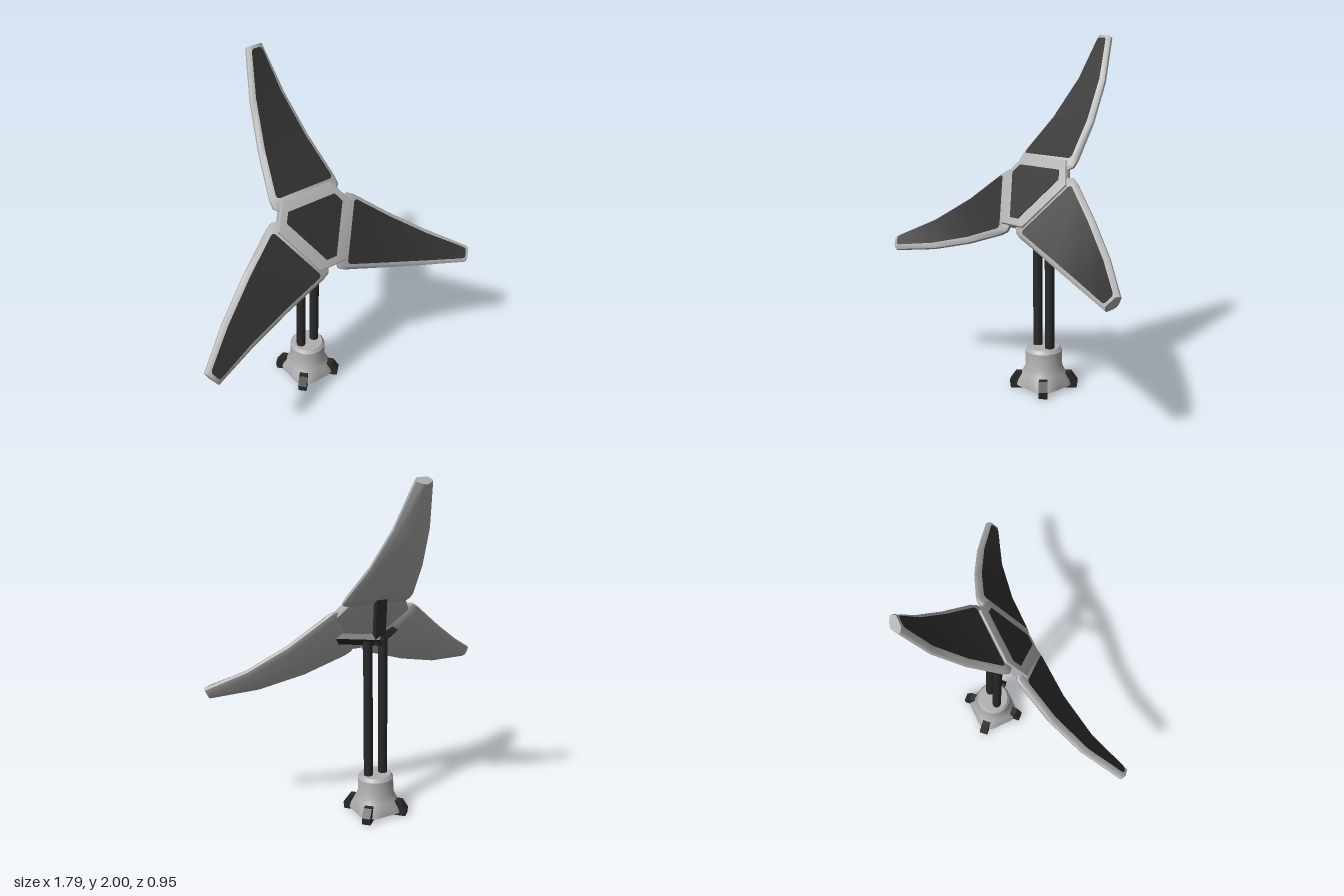
import * as THREE from 'three';
import { toCreasedNormals } from 'three/addons/utils/BufferGeometryUtils.js';

const shell = new THREE.MeshStandardMaterial({ color: 0xb0b0b0, side: THREE.DoubleSide });
shell.name = 'light grey shell';
const panelMat = new THREE.MeshStandardMaterial({ color: 0x303030, side: THREE.DoubleSide });
panelMat.name = 'dark panel';
const metal = new THREE.MeshStandardMaterial({ color: 0x282828 });
metal.name = 'black metal';

function add(parent, name, geometry, material) {
  const mesh = new THREE.Mesh(geometry, material);
  mesh.name = name;
  parent.add(mesh);
  return mesh;
}

// Blade stations along its length: distance from hub, half width, depth, half thickness
const STATIONS = [
  [0.138, 0.188, -0.022, 0.014],
  [0.165, 0.213, -0.033, 0.021],
  [0.21, 0.212, -0.04, 0.025],
  [0.47, 0.16, -0.07, 0.024],
  [0.737, 0.106, -0.064, 0.023],
  [1.003, 0.048, -0.011, 0.025],
];

// Height of the blade's front face at a given distance
function frontAt(r) {
  let i = 0;
  while (i < STATIONS.length - 2 && r > STATIONS[i + 1][0]) i++;
  const a = STATIONS[i], b = STATIONS[i + 1];
  return THREE.MathUtils.lerp(a[2] + a[3], b[2] + b[3], (r - a[0]) / (b[0] - a[0]));
}

function indexed(positions, index) {
  const g = new THREE.BufferGeometry();
  g.setAttribute('position', new THREE.Float32BufferAttribute(positions, 3));
  g.setIndex(index);
  g.computeVertexNormals();
  return g;
}

// Lofted blade with bevelled front rim and rounded back
function bladeGeometry() {
  const pos = [], idx = [];
  const n = 9;
  for (const [r, w, mid, t] of STATIONS) {
    const half = [[w - 0.018, t], [w, 0.3 * t], [w, -0.3 * t], [w - 0.028, -t]];
    const ring = [...half, [0, -1.25 * t], ...half.slice().reverse().map(([x, z]) => [-x, z])];
    for (const [x, z] of ring) pos.push(x, r, mid + z);
  }
  const last = (STATIONS.length - 1) * n;
  for (let i = 0; i < last; i += n) {
    for (let j = 0; j < n; j++) {
      const k = (j + 1) % n;
      idx.push(i + j, i + k, i + n + k, i + j, i + n + k, i + n + j);
    }
  }
  for (let j = 1; j < n - 1; j++) idx.push(last, last + j, last + j + 1, 0, j + 1, j);
  return toCreasedNormals(indexed(pos, idx), 0.8);
}

// Thin dark sheet following the bow of the blade
function bladePanelGeometry() {
  const rows = [[0.207, 0.165], [0.213, 0.177], [0.228, 0.181], [0.47, 0.133],
    [0.737, 0.08], [0.96, 0.036], [0.978, 0.03], [0.985, 0.02]];
  const pos = [], idx = [];
  rows.forEach(([r, w], i) => {
    const z = frontAt(r) + 0.004;
    pos.push(-w, r, z, w, r, z);
    if (i) {
      const a = 2 * i - 2;
      idx.push(a, a + 1, a + 3, a, a + 3, a + 2);
    }
  });
  return indexed(pos, idx);
}

// Triangle pointing down, corners cut off at the given radius
function hubShape(inner, corner) {
  const pts = [];
  for (let k = 0; k < 3; k++) {
    const a = Math.PI / 6 + k * Math.PI * 2 / 3;
    const s = (2 * inner - corner) * Math.sqrt(3);
    for (const side of [-1, 1]) {
      pts.push(new THREE.Vector2(
        corner * Math.cos(a) - side * s * Math.sin(a),
        corner * Math.sin(a) + side * s * Math.cos(a)));
    }
  }
  return new THREE.Shape(pts);
}

function createRotor() {
  const rotor = new THREE.Group();
  rotor.name = 'rotor';
  rotor.position.set(0, 1.183, 0.155);
  rotor.rotation.x = -0.63;

  const hub = new THREE.ExtrudeGeometry(hubShape(0.135, 0.225),
    { depth: 0.032, bevelThickness: 0.01, bevelSize: 0.012, bevelSegments: 2 });
  add(rotor, 'hub', toCreasedNormals(hub, 0.7), shell).position.z = -0.042;
  add(rotor, 'hubPanel', new THREE.ExtrudeGeometry(hubShape(0.106, 0.194),
    { depth: 0.004, bevelEnabled: false }), panelMat);

  const blade = bladeGeometry(), panel = bladePanelGeometry();
  const from = new THREE.Vector3(0, -0.012, -0.19), to = new THREE.Vector3(0, 0.205, -0.058);
  for (let k = 0; k < 3; k++) {
    const arm = new THREE.Group();
    arm.name = 'blade' + (k + 1);
    arm.rotation.z = k * Math.PI * 2 / 3;
    add(arm, 'bladeShell', blade, shell);
    add(arm, 'bladePanel', panel, panelMat);
    // Rear bracket bar reaching from the mast head to this blade
    const bar = add(arm, 'bracketBar', new THREE.BoxGeometry(0.064, from.distanceTo(to), 0.036), metal);
    bar.position.copy(from).add(to).multiplyScalar(0.5);
    bar.rotation.x = Math.atan2(to.z - from.z, to.y - from.y);
    rotor.add(arm);
  }
  return rotor;
}

function createBase() {
  const base = new THREE.Group();
  base.name = 'base';
  base.position.z = 0.05;

  // Cup with a hollow underside, flaring out towards the four feet
  const profile = [[0, 0.06], [0.1, 0.06], [0.138, 0.015], [0.148, 0.02], [0.142, 0.05], [0.122, 0.095],
    [0.107, 0.13], [0.105, 0.225], [0.09, 0.245], [0, 0.245]];
  const cup = new THREE.LatheGeometry(profile.map(([x, y]) => new THREE.Vector2(x, y)), 32);
  const p = cup.attributes.position;
  for (let i = 0; i < p.count; i++) {
    const x = p.getX(i), y = p.getY(i), z = p.getZ(i);
    const flare = Math.max(0, 1 - y / 0.12);
    const s = 1 - 0.11 * flare * Math.cos(4 * Math.atan2(z, x));
    p.setXYZ(i, x * s, y, z * s);
  }
  add(base, 'cup', toCreasedNormals(cup, 0.6), shell);

  // Wedge feet on the diagonals
  const side = new THREE.Shape([[0.1, 0], [0.19, 0], [0.195, 0.04], [0.16, 0.09], [0.11, 0.09]]
    .map(([x, y]) => new THREE.Vector2(x, y)));
  const foot = new THREE.ExtrudeGeometry(side, { depth: 0.05, bevelEnabled: false });
  foot.translate(0, 0, -0.025);
  for (let k = 0; k < 4; k++) {
    add(base, 'foot' + (k + 1), foot, metal).rotation.y = Math.PI / 4 + k * Math.PI / 2;
  }

  // Twin poles
  for (const s of [-1, 1]) {
    const pole = add(base, s > 0 ? 'leftPole' : 'rightPole',
      new THREE.CylinderGeometry(0.027, 0.027, 0.85, 16), metal);
    pole.position.set(s * 0.048, 0.645, 0);
  }
  return base;
}

export function createModel() {
  const model = new THREE.Group();
  model.name = 'windTurbine';
  model.add(createBase(), createRotor());
  return model;
}
